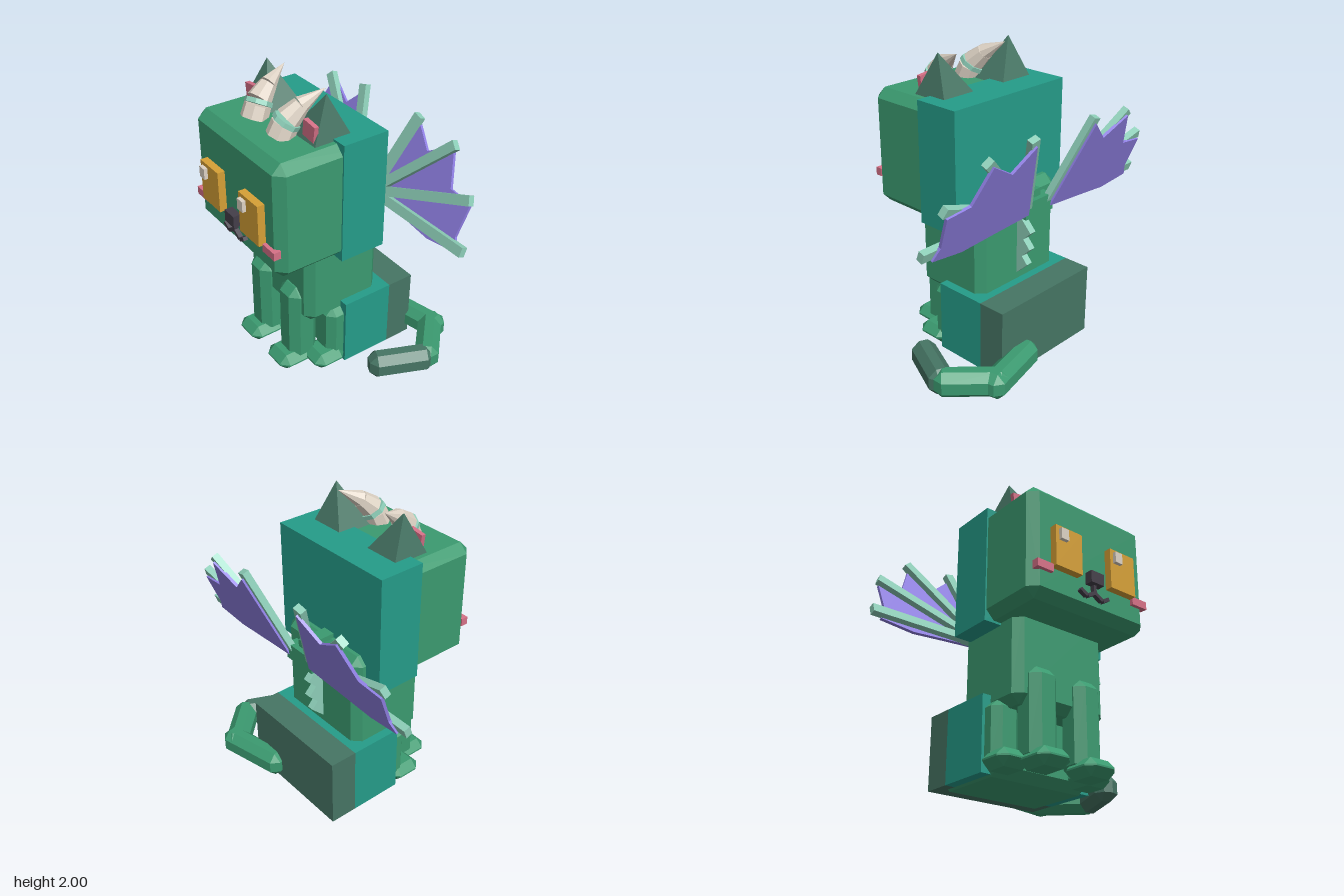
import * as THREE from 'three';
import { ConvexGeometry } from 'three/addons/geometries/ConvexGeometry.js';

const paint = (name, color) => new THREE.MeshStandardMaterial({ name, color, flatShading: true });

export function createModel() {
  const green = paint('green', 0x3b9a70);
  const teal = paint('teal', 0x259c89);
  const moss = paint('moss', 0x467564);
  const ivory = paint('ivory', 0xddd2c4);
  const mint = paint('mint', 0x8dceb8);
  const violet = paint('violet', 0x9080e4);
  const amber = paint('amber', 0xd6a036);
  const pink = paint('pink', 0xd67187);
  const charcoal = paint('charcoal', 0x443e49);

  const model = new THREE.Group();
  model.name = 'wingedCat';

  const add = (name, geometry, material, parent = model) => {
    const mesh = new THREE.Mesh(geometry, material);
    mesh.name = name;
    parent.add(mesh);
    return mesh;
  };

  // Plain box given by its min and max on each axis
  const box = (name, [x0, x1], [y0, y1], [z0, z1], material) => {
    const mesh = add(name, new THREE.BoxGeometry(x1 - x0, y1 - y0, z1 - z0), material);
    mesh.position.set((x0 + x1) / 2, (y0 + y1) / 2, (z0 + z1) / 2);
    return mesh;
  };

  // Box with all edges and corners cut
  const chamferGeometry = (w, h, d, c) => {
    const points = [];
    for (const x of [-1, 1]) for (const y of [-1, 1]) for (const z of [-1, 1]) {
      for (let axis = 0; axis < 3; axis++) {
        const half = [w, h, d].map((size, i) => size / 2 - (i === axis ? 0 : c));
        points.push(new THREE.Vector3(x * half[0], y * half[1], z * half[2]));
      }
    }
    return new ConvexGeometry(points);
  };
  const chamferBox = (name, [x0, x1], [y0, y1], [z0, z1], c, material) => {
    const mesh = add(name, chamferGeometry(x1 - x0, y1 - y0, z1 - z0, c), material);
    mesh.position.set((x0 + x1) / 2, (y0 + y1) / 2, (z0 + z1) / 2);
    return mesh;
  };

  // Tapered rod between two points
  const rod = (name, a, b, r0, r1, sides, material, parent) => {
    const p = new THREE.Vector3(...a), q = new THREE.Vector3(...b);
    const dir = q.clone().sub(p);
    const mesh = add(name, new THREE.CylinderGeometry(r1, r0, dir.length(), sides), material, parent);
    mesh.position.copy(p).add(q).multiplyScalar(0.5);
    mesh.quaternion.setFromUnitVectors(new THREE.Vector3(0, 1, 0), dir.normalize());
    return mesh;
  };

  // Flat bar between two points in the xy plane
  const bar = (name, a, b, z, width, depth, material, parent) => {
    const dx = b[0] - a[0], dy = b[1] - a[1];
    const mesh = add(name, new THREE.BoxGeometry(Math.hypot(dx, dy), width, depth), material, parent);
    mesh.position.set((a[0] + b[0]) / 2, (a[1] + b[1]) / 2, z);
    mesh.rotation.z = Math.atan2(dy, dx);
    return mesh;
  };

  // Head and torso
  chamferBox('head', [-0.475, 0.475], [0.95, 1.73], [-0.12, 0.6], 0.06, green);
  box('headBack', [-0.485, 0.485], [0.935, 1.745], [-0.165, 0.155], teal);
  chamferBox('torso', [-0.36, 0.36], [0.4, 1.14], [-0.245, 0.32], 0.055, green);
  chamferBox('hips', [-0.4, 0.4], [0, 0.46], [-0.43, 0.12], 0.06, green);
  box('hipsMiddle', [-0.42, 0.42], [0.012, 0.5], [-0.3, 0.065], teal);
  box('hipsBack', [-0.42, 0.42], [0.012, 0.5], [-0.49, -0.3], moss);

  // Face
  for (const x of [-0.225, 0.225]) {
    box('eye', [x - 0.105, x + 0.105], [1.16, 1.44], [0.59, 0.65], amber);
    box('eyeHighlight', [x - 0.08, x - 0.022], [1.34, 1.415], [0.64, 0.675], ivory);
  }
  box('nose', [-0.052, 0.052], [1.14, 1.22], [0.59, 0.655], charcoal);
  bar('mouthStem', [0, 1.15], [0, 1.08], 0.61, 0.022, 0.04, charcoal);

  for (const s of [-1, 1]) {
    const span = (a, b) => (s > 0 ? [a, b] : [-b, -a]);

    bar('mouthInner', [0, 1.088], [s * 0.06, 1.053], 0.61, 0.024, 0.04, charcoal);
    bar('mouthOuter', [s * 0.065, 1.052], [s * 0.115, 1.082], 0.61, 0.024, 0.04, charcoal);
    box('cheek', span(0.33, 0.453), [1.12, 1.173], [0.575, 0.625], pink);

    // Ears lean outward
    const ear = new THREE.ConeGeometry(0.14 * Math.SQRT2, 0.29, 4);
    ear.rotateY(Math.PI / 4);
    const position = ear.attributes.position;
    for (let i = 0; i < position.count; i++) {
      if (position.getY(i) > 0) position.setX(i, s * 0.06);
    }
    add('ear', ear, moss).position.set(s * 0.25, 1.855, 0.155);
    const inner = box('innerEar', span(0.255, 0.365), [1.75, 1.855], [0.25, 0.28], pink);
    inner.rotation.z = -s * 0.13;

    // Horns curve backward
    const path = [[0.14, 1.72, 0.365], [0.148, 1.8, 0.33], [0.155, 1.825, 0.315],
      [0.175, 1.9, 0.235], [0.215, 1.985, 0.09]].map(([x, y, z]) => [s * x, y, z]);
    rod('hornBase', path[0], path[1], 0.088, 0.084, 8, ivory);
    rod('hornRing', path[1], path[2], 0.09, 0.088, 8, mint);
    rod('hornMiddle', path[2], path[3], 0.08, 0.056, 8, ivory);
    rod('hornTip', path[3], path[4], 0.056, 0, 8, ivory);

    // Legs and paws
    chamferBox('frontLeg', span(0.07, 0.28), [0.04, 0.64], [0.17, 0.385], 0.055, green);
    chamferBox('frontPaw', span(0.055, 0.3), [0.005, 0.12], [0.22, 0.48], 0.052, green);
    chamferBox('backLeg', span(0.2, 0.4), [0.04, 0.46], [-0.02, 0.175], 0.05, green);
    chamferBox('backPaw', span(0.2, 0.44), [0.015, 0.13], [0.05, 0.29], 0.052, green);

    // Wing: four bones and a scalloped skin, leaning back from the root
    const wing = new THREE.Group();
    wing.name = s > 0 ? 'leftWing' : 'rightWing';
    wing.position.set(0, 1.06, -0.38);
    wing.rotation.x = -0.36;
    model.add(wing);
    const flat = ([x, y]) => [s * x, (y - 1.06) * 1.069];
    for (const tip of [[0.97, 1.065], [0.89, 1.35], [0.635, 1.585], [0.28, 1.63]]) {
      bar('wingBone', flat([0.1, 1.065]), flat(tip), 0, 0.065, 0.045, mint, wing);
    }
    const outline = [[0.1, 1.05], [0.27, 1.6], [0.42, 1.46], [0.61, 1.57], [0.7, 1.34], [0.88, 1.32],
      [0.86, 1.11], [0.9, 1.03], [0.66, 1.0], [0.4, 1.025]];
    const skin = new THREE.Shape(outline.map(p => new THREE.Vector2(...flat(p))));
    const skinGeometry = new THREE.ExtrudeGeometry(skin, { depth: 0.02, bevelEnabled: false });
    add('wingSkin', skinGeometry, violet, wing).position.z = -0.036;
  }

  // Wing mount
  box('wingMount', [-0.125, 0.125], [1.01, 1.12], [-0.41, -0.33], green);
  box('wingMountPost', [-0.045, 0.045], [1.08, 1.17], [-0.375, -0.315], green);
  box('wingMountArm', [-0.045, 0.045], [1.135, 1.17], [-0.34, -0.1], green);

  // Back crest
  const crest = new THREE.Shape([[0.2, 1.02], [0.245, 0.985], [0.36, 0.865], [0.3, 0.805], [0.355, 0.745],
    [0.29, 0.68], [0.335, 0.63], [0.24, 0.54], [0.2, 0.54]].map(p => new THREE.Vector2(...p)));
  const crestGeometry = new THREE.ExtrudeGeometry(crest, { depth: 0.05, bevelEnabled: false });
  crestGeometry.rotateY(Math.PI / 2);
  add('backCrest', crestGeometry, mint).position.x = -0.025;

  // Tail curls round to the left side
  const tail = [
    [[0.14, -0.48], [0.65, -0.6], green],
    [[0.5, -0.63], [0.83, -0.3], green],
    [[0.81, -0.37], [0.635, 0.03], moss],
  ];
  for (const [[x0, z0], [x1, z1], material] of tail) {
    const length = Math.hypot(x1 - x0, z1 - z0);
    const part = add('tailPart', chamferGeometry(length, 0.18, 0.16, 0.05), material);
    part.position.set((x0 + x1) / 2, 0.12, (z0 + z1) / 2);
    part.rotation.y = -Math.atan2(z1 - z0, x1 - x0);
  }

  return model;
}
